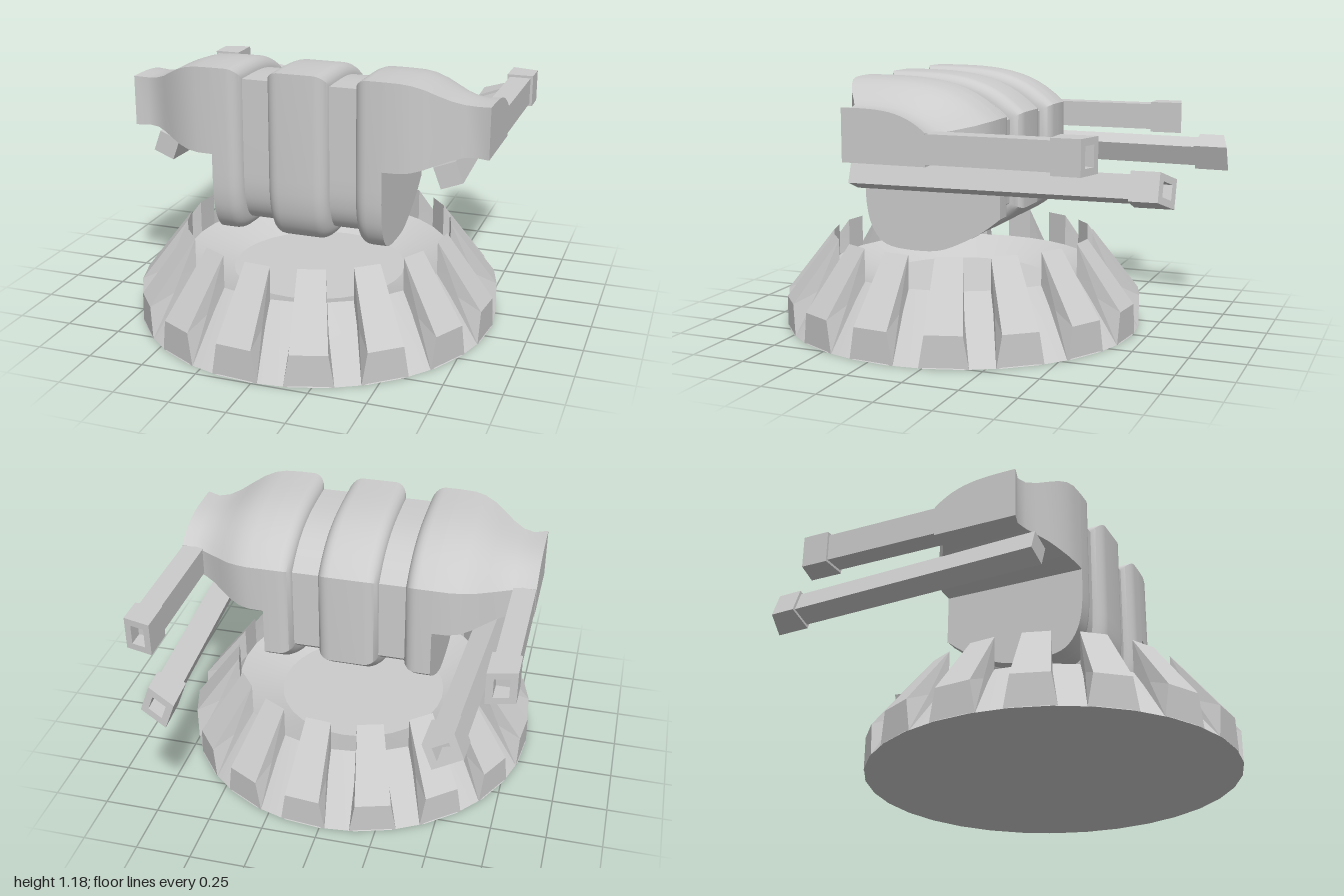
import * as THREE from 'three';
import { toCreasedNormals } from 'three/addons/utils/BufferGeometryUtils.js';

const grey = new THREE.MeshStandardMaterial({ color: 0xcccccc });

function mesh(name, geometry, crease = 0.6) {
  const m = new THREE.Mesh(toCreasedNormals(geometry, crease), grey);
  m.name = name;
  return m;
}

// Skin a list of closed rings of [x, y, z] and cap both ends
function loft(rings) {
  const pos = [];
  const tri = (...pts) => pts.forEach((p) => pos.push(...p));
  const n = rings[0].length;
  const middle = (ring) => [0, 1, 2].map((k) => ring.reduce((s, p) => s + p[k], 0) / n);
  const last = rings[rings.length - 1];
  const c0 = middle(rings[0]), c1 = middle(last);
  for (let j = 0; j < n; j++) {
    const k = (j + 1) % n;
    for (let i = 0; i < rings.length - 1; i++) {
      const a = rings[i][j], b = rings[i][k], c = rings[i + 1][j], d = rings[i + 1][k];
      tri(a, c, b);
      tri(b, c, d);
    }
    tri(c0, rings[0][j], rings[0][k]);
    tri(c1, last[k], last[j]);
  }
  const g = new THREE.BufferGeometry();
  g.setAttribute('position', new THREE.Float32BufferAttribute(pos, 3));
  g.computeVertexNormals();
  return g;
}

// Mirror rings to the -x side, keeping them ordered by x
const onSide = (rings, s) =>
  s > 0 ? rings : rings.map((r) => r.map(([x, y, z]) => [-x, y, z])).reverse();

// Roof line running from front to back, dropping towards the back
function roof(top, drop, front, back) {
  return Array.from({ length: 15 }, (_, i) => {
    const t = i / 14;
    return [front + (back - front) * t, top - drop * t ** 3.7];
  });
}

// Side profile of the body as [z, y]
const underside = new THREE.SplineCurve([
  [-0.185, 0.57], [-0.1, 0.505], [0, 0.45], [0.1, 0.41], [0.2, 0.4], [0.33, 0.408],
  [0.4, 0.44], [0.445, 0.51], [0.465, 0.6], [0.47, 0.7],
].map((p) => new THREE.Vector2(...p))).getPoints(30).map((p) => [p.x, p.y]);
const profile = [...roof(1.18, 0.17, 0.47, -0.185), ...underside];

// Body ring at x, shrunk inwards by inset
const bodyRing = (x, inset) => profile.map(([z, y]) => [
  x,
  0.79 + (y - 0.79) * (1 - inset / 0.39),
  0.1425 + (z - 0.1425) * (1 - inset / 0.3275),
]);

// Rings for a rounded edge that starts at x
function roundedEdge(x, r, dir = 1) {
  return Array.from({ length: 7 }, (_, i) => {
    const a = (i / 6) * Math.PI / 2;
    return bodyRing(x + dir * r * (1 - Math.cos(a)), r * (1 - Math.sin(a)));
  });
}

// Shoulder ring: floor, top, front, back, drop of the roof
const shoulderRing = ([x, floor, top, front, back, drop]) => [
  ...roof(top, drop, front, back), [back, floor], [front, floor],
].map(([z, y]) => [x, y, z]);

const shoulderStations = [
  [0.39, 0.79, 1.18, 0.47, -0.185, 0.17],
  [0.46, 0.79, 1.178, 0.467, -0.182, 0.17],
  [0.51, 0.795, 1.17, 0.457, -0.17, 0.165],
  [0.56, 0.808, 1.152, 0.437, -0.145, 0.155],
  [0.61, 0.825, 1.125, 0.41, -0.11, 0.135],
  [0.66, 0.84, 1.098, 0.375, -0.075, 0.115],
  [0.71, 0.85, 1.08, 0.345, -0.045, 0.1],
  [0.76, 0.852, 1.074, 0.333, -0.025, 0.09],
  [0.82, 0.852, 1.08, 0.35, -0.03, 0.09],
];

// Square gun barrel pointing to -z, with a hollow slanted muzzle
function gun(name, w, h, length, slant) {
  const g = new THREE.Group();
  g.name = name;
  const tube = new THREE.BoxGeometry(w, h, length - 0.08);
  tube.translate(0, 0, -(length - 0.08) / 2);
  g.add(mesh('barrel', tube));

  const rect = (P, a, b) => new P([[-a, -b], [a, -b], [a, b], [-a, b]]
    .map(([x, y]) => new THREE.Vector2(x, y)));
  const shape = rect(THREE.Shape, w / 2 + 0.012, h / 2 + 0.012);
  shape.holes.push(rect(THREE.Path, w / 2 - 0.018, h / 2 - 0.018));
  const muzzle = new THREE.ExtrudeGeometry(shape, { depth: 0.14, bevelEnabled: false });
  muzzle.translate(0, 0, -length);
  const p = muzzle.attributes.position;
  for (let i = 0; i < p.count; i++) {
    if (p.getZ(i) < -length + 0.07) p.setZ(i, p.getZ(i) + slant * p.getX(i));
  }
  muzzle.computeVertexNormals();
  g.add(mesh('muzzle', muzzle));
  return g;
}

function makeBase() {
  const base = new THREE.Group();
  base.name = 'base';
  base.position.z = 0.155;
  base.scale.x = 0.98;

  // Sloped ring with a sunken dish
  const points = [[0, 0], [0.84, 0], [0.617, 0.28], [0.405, 0.2], [0, 0.2]]
    .map((p) => new THREE.Vector2(...p));
  base.add(mesh('dish', new THREE.LatheGeometry(points, 32).toNonIndexed(), 0.25));

  // Teeth on every other segment
  const step = Math.PI / 16;
  const section = [[0.84, 0], [0.84, 0.145], [0.617, 0.43], [0.617, 0.2]];
  for (let i = 0; i < 16; i++) {
    const ring = (a, flare) => section.map(([r, y]) => {
      const f = y === 0 ? a + flare : a;
      return [r * Math.sin(f), y, r * Math.cos(f)];
    });
    const a = (2 * i - 1) * step;
    base.add(mesh('tooth', loft([ring(a, -0.03), ring(a + step, 0.03)]), 0.1));
  }
  return base;
}

export function createModel() {
  const model = new THREE.Group();
  model.name = 'turret';
  model.add(makeBase());

  // Body: recessed core and centre lobe
  model.add(mesh('core', loft([bodyRing(-0.3, 0.052), bodyRing(0.3, 0.052)])));
  model.add(mesh('centreLobe', loft([
    ...roundedEdge(-0.14, 0.06), ...roundedEdge(0.14, 0.06, -1).reverse(),
  ])));

  for (const s of [1, -1]) {
    const side = new THREE.Group();
    side.name = s > 0 ? 'leftSide' : 'rightSide';
    side.add(mesh('sideLobe', loft(onSide([...roundedEdge(0.26, 0.06), bodyRing(0.39, 0)], s))));
    side.add(mesh('shoulder', loft(onSide(shoulderStations.map(shoulderRing), s))));

    const upper = gun('upperGun', 0.1, 0.125, 0.805, 0.25 * s);
    upper.position.set(0.768 * s, 0.924, 0.1);
    side.add(upper);

    const lower = gun('lowerGun', 0.102, 0.1, 1.352, 0.35 * s);
    lower.position.set(0.655 * s, 0.778, 0.38);
    lower.rotation.set(0, 0.049 * s, 0.36 * s, 'YXZ');
    side.add(lower);
    model.add(side);
  }
  return model;
}
